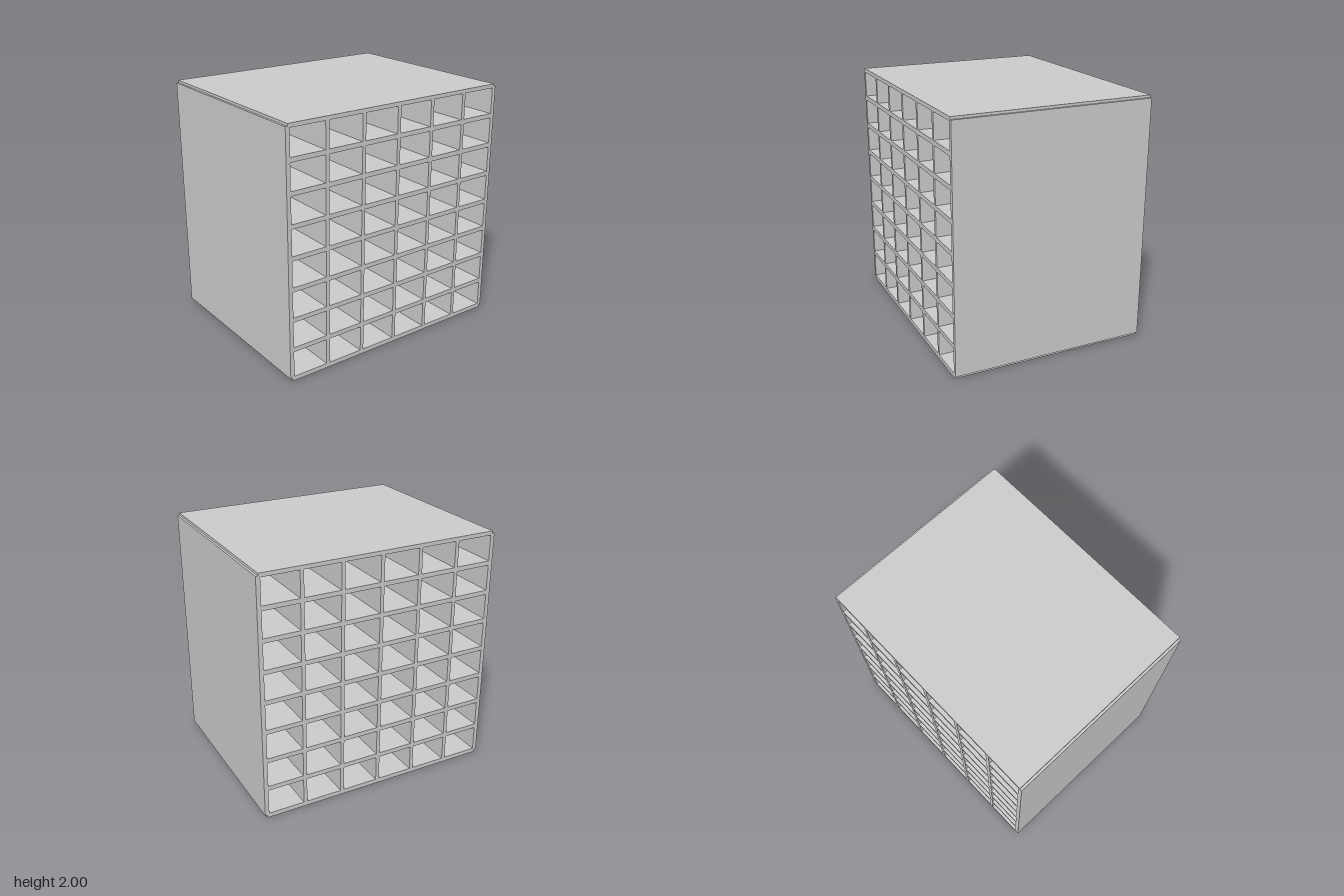
import * as THREE from 'three';

const COLS = 6, ROWS = 8;
const PITCH_X = 0.327, PITCH_Y = 0.246;
const CELL_W = 0.297, CELL_H = 0.209;
const FIRST_Y = 0.037, DEPTH = 1.61;
const NOTCH = 0.018, NOTCH_TOP = 0.02, NOTCH_BOTTOM = 0.023;

// closed outline from a list of corners
function outline(target, points) {
  points.forEach(([x, y], i) => (i ? target.lineTo(x, y) : target.moveTo(x, y)));
  target.closePath();
  return target;
}

export function createModel() {
  const group = new THREE.Group();
  group.name = 'pigeonholeCabinet';

  // outer outline with a small step at each corner
  const a = 1 - NOTCH, b = NOTCH_BOTTOM, t = 2 - NOTCH_TOP;
  const shape = outline(new THREE.Shape(), [
    [-a, 0], [a, 0], [a, b], [1, b], [1, t], [a, t],
    [a, 2], [-a, 2], [-a, t], [-1, t], [-1, b], [-a, b],
  ]);

  // open compartments running from front to back
  for (let row = 0; row < ROWS; row++) {
    for (let col = 0; col < COLS; col++) {
      const x0 = (col - (COLS - 1) / 2) * PITCH_X - CELL_W / 2;
      const y0 = FIRST_Y + row * PITCH_Y;
      const x1 = x0 + CELL_W, y1 = y0 + CELL_H;
      shape.holes.push(outline(new THREE.Path(), [[x0, y0], [x0, y1], [x1, y1], [x1, y0]]));
    }
  }

  const geometry = new THREE.ExtrudeGeometry(shape, { depth: DEPTH, bevelEnabled: false });
  geometry.translate(0, 0, -DEPTH / 2);
  const cabinet = new THREE.Mesh(geometry, new THREE.MeshStandardMaterial({ color: 0xcccccc }));
  cabinet.name = 'compartmentGrid';
  group.add(cabinet);
  return group;
}
